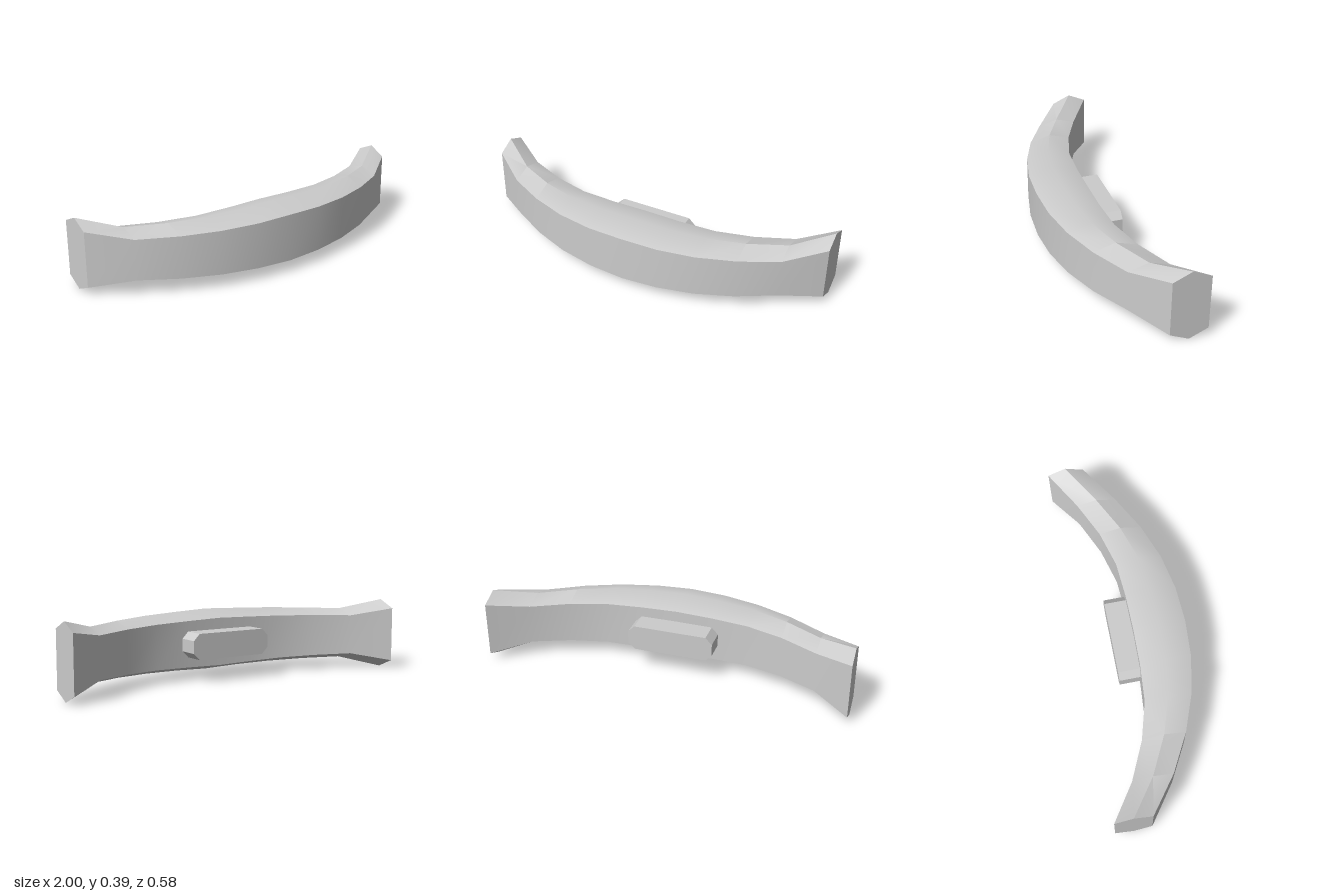
import * as THREE from 'three';
import { toCreasedNormals } from 'three/addons/utils/BufferGeometryUtils.js';

const MID_Y = 0.198;

// Half stations from the centre to one end:
// x, front z, back z, half height of the side faces, half height of the ridge
const HALF = [
  [0.0, 0.289, 0.005, 0.131, 0.17],
  [0.2, 0.278, 0.002, 0.126, 0.163],
  [0.4, 0.238, -0.013, 0.121, 0.157],
  [0.6, 0.165, -0.068, 0.116, 0.15],
  [0.8, 0.058, -0.159, 0.111, 0.143],
  [1.0, -0.089, -0.289, 0.152, 0.197],
];

// Curved bar with a hexagonal cross-section
function barGeometry() {
  const mirrored = HALF.slice(1).reverse().map(([x, ...rest]) => [-x, ...rest]);
  const stations = [...mirrored, ...HALF];
  const positions = [];
  const index = [];
  for (const [x, front, back, side, ridge] of stations) {
    const mid = (front + back) / 2;
    const ring = [[front, side], [mid, ridge], [back, side], [back, -side], [mid, -ridge], [front, -side]];
    for (const [z, y] of ring) positions.push(x, MID_Y + y, z);
  }
  for (let i = 0; i < stations.length - 1; i++) {
    for (let j = 0; j < 6; j++) {
      const a = i * 6 + j;
      const b = i * 6 + ((j + 1) % 6);
      index.push(a, a + 6, b + 6, a, b + 6, b);
    }
  }
  // End caps
  const last = (stations.length - 1) * 6;
  for (let j = 1; j < 5; j++) {
    index.push(0, j, j + 1);
    index.push(last, last + j + 1, last + j);
  }
  const geometry = new THREE.BufferGeometry();
  geometry.setAttribute('position', new THREE.Float32BufferAttribute(positions, 3));
  geometry.setIndex(index);
  return toCreasedNormals(geometry, 0.6);
}

// Block with chamfered corners, sunk into the back of the bar
function mountGeometry() {
  const w = 0.237, h = 0.07, c = 0.036;
  const outline = [
    [w, -h + c], [w, h - c], [w - c, h], [-w + c, h],
    [-w, h - c], [-w, -h + c], [-w + c, -h], [w - c, -h],
  ].map(([x, y]) => new THREE.Vector2(x, y));
  const geometry = new THREE.ExtrudeGeometry(new THREE.Shape(outline), { depth: 0.16, bevelEnabled: false });
  return geometry.translate(0, MID_Y, -0.117);
}

export function createModel() {
  const grey = new THREE.MeshStandardMaterial({ color: 0xcccccc });
  grey.name = 'light grey';

  const model = new THREE.Group();
  model.name = 'curvedBumper';
  const parts = { curvedBar: barGeometry(), rearMount: mountGeometry() };
  for (const [name, geometry] of Object.entries(parts)) {
    const mesh = new THREE.Mesh(geometry, grey);
    mesh.name = name;
    model.add(mesh);
  }
  return model;
}
